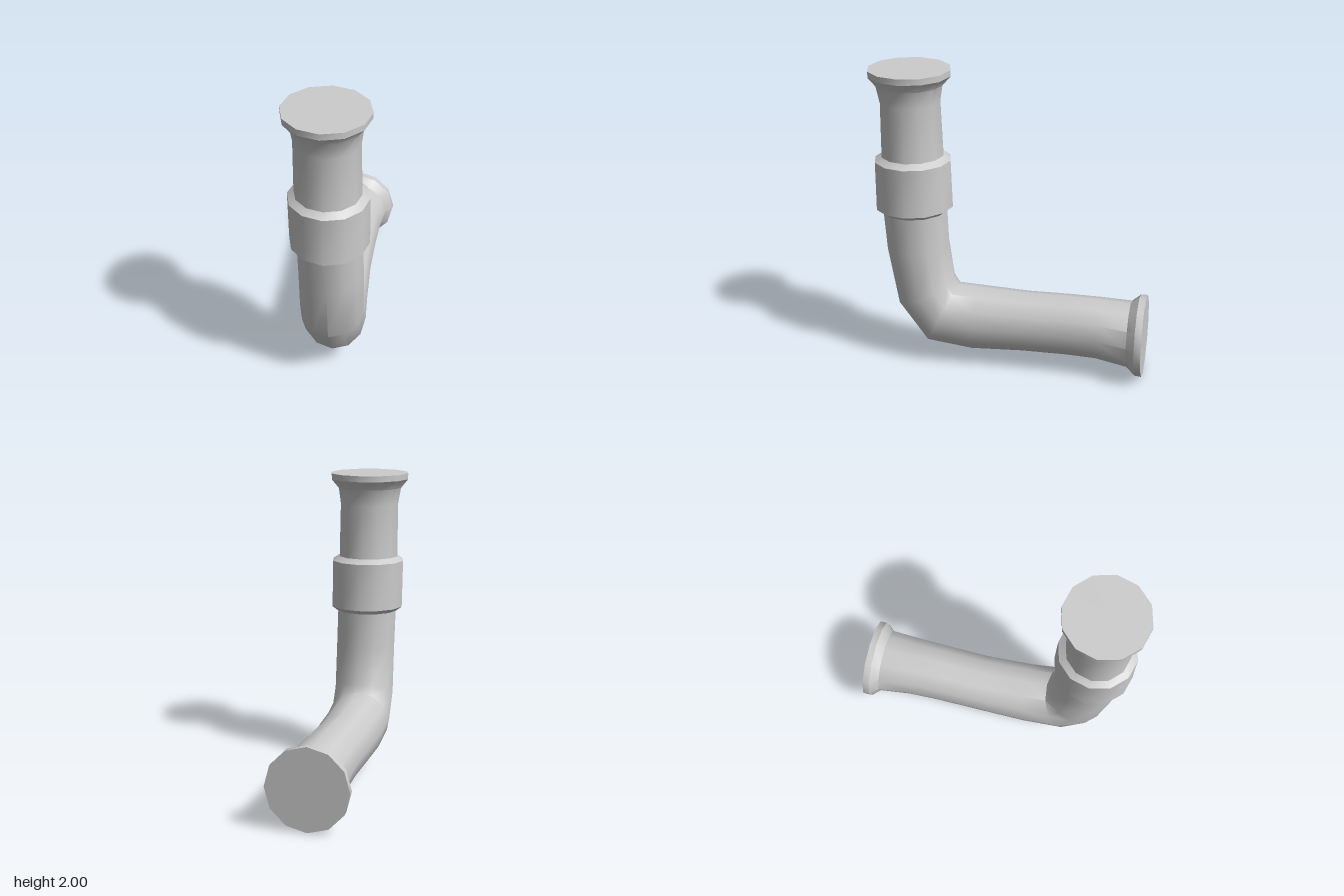
import * as THREE from 'three';
import { toCreasedNormals } from 'three/addons/utils/BufferGeometryUtils.js';

const SIDES = 12;

// Ring: outer-bend point (z, y), inner-bend point (z, y), centre x, half width in x
function ringPoints([oz, oy, iz, iy, cx, rx]) {
  const points = [];
  for (let k = 0; k < SIDES; k++) {
    const a = (k / SIDES) * Math.PI * 2;
    const c = Math.cos(a) / 2;
    points.push(cx + rx * Math.sin(a), (oy + iy) / 2 + (oy - iy) * c, (oz + iz) / 2 + (oz - iz) * c);
  }
  return points;
}

// Skin a run of rings, optionally closing the first or last one
function loft(rings, capStart = false, capEnd = false) {
  const positions = rings.flatMap(ringPoints);
  const index = [];
  for (let r = 0; r < rings.length - 1; r++) {
    for (let k = 0; k < SIDES; k++) {
      const a = r * SIDES + k, b = r * SIDES + ((k + 1) % SIDES);
      index.push(a, a + SIDES, b, b, a + SIDES, b + SIDES);
    }
  }
  const cap = (r, flip) => {
    const [oz, oy, iz, iy, cx] = rings[r];
    const centre = positions.length / 3;
    positions.push(cx, (oy + iy) / 2, (oz + iz) / 2);
    for (let k = 0; k < SIDES; k++) {
      const a = r * SIDES + k, b = r * SIDES + ((k + 1) % SIDES);
      index.push(centre, flip ? b : a, flip ? a : b);
    }
  };
  if (capStart) cap(0, false);
  if (capEnd) cap(rings.length - 1, true);
  const geometry = new THREE.BufferGeometry();
  geometry.setAttribute('position', new THREE.Float32BufferAttribute(positions, 3));
  geometry.setIndex(index);
  return toCreasedNormals(geometry, 0.67);
}

export function createModel() {
  const group = new THREE.Group();
  const material = new THREE.MeshStandardMaterial({ color: 0xcccccc });
  const add = (name, geometry) => {
    const mesh = new THREE.Mesh(geometry, material);
    mesh.name = name;
    group.add(mesh);
  };

  // Rings shared by neighbouring parts
  const topRim = [0.91, 1.96, 0.375, 1.96, 0, 0.266];
  const collarTop = [0.84, 1.43, 0.43, 1.435, 0.005, 0.205];
  const collarBottom = [0.84, 1.045, 0.41, 1.06, 0.012, 0.205];
  const endRim = [-0.865, 0.005, -0.865, 0.542, 0, 0.267];

  // Closed upper flange
  add('upperFlange', loft([[0.91, 2, 0.375, 2, 0, 0.268], topRim], true));

  // Flared upper pipe
  add('upperPipe', loft([
    topRim,
    [0.862, 1.9, 0.428, 1.9, 0, 0.218],
    [0.837, 1.79, 0.445, 1.79, 0.002, 0.201],
    collarTop,
  ]));

  // Chamfered collar
  add('collar', loft([
    collarTop,
    [0.885, 1.4, 0.383, 1.405, 0.008, 0.248],
    [0.885, 1.075, 0.372, 1.09, 0.012, 0.247],
    collarBottom,
  ]));

  // Elbow and horizontal pipe, flaring at the far end
  add('elbowPipe', loft([
    collarBottom,
    [0.82, 0.8, 0.4, 0.815, 0.017, 0.205],
    [0.75, 0.4, 0.37, 0.575, 0.015, 0.206],
    [0.55, 0.125, 0.345, 0.528, 0.013, 0.207],
    [0.24, 0.08, 0.2, 0.52, 0.003, 0.2],
    [-0.1, 0.095, -0.12, 0.503, -0.004, 0.193],
    [-0.4, 0.1, -0.4, 0.508, -0.001, 0.195],
    [-0.6, 0.096, -0.6, 0.505, 0, 0.202],
    [-0.81, 0.057, -0.81, 0.496, 0, 0.22],
    endRim,
  ]));

  // Closed rear flange
  add('rearFlange', loft([endRim, [-0.91, 0, -0.91, 0.542, 0, 0.268]], false, true));

  return group;
}
